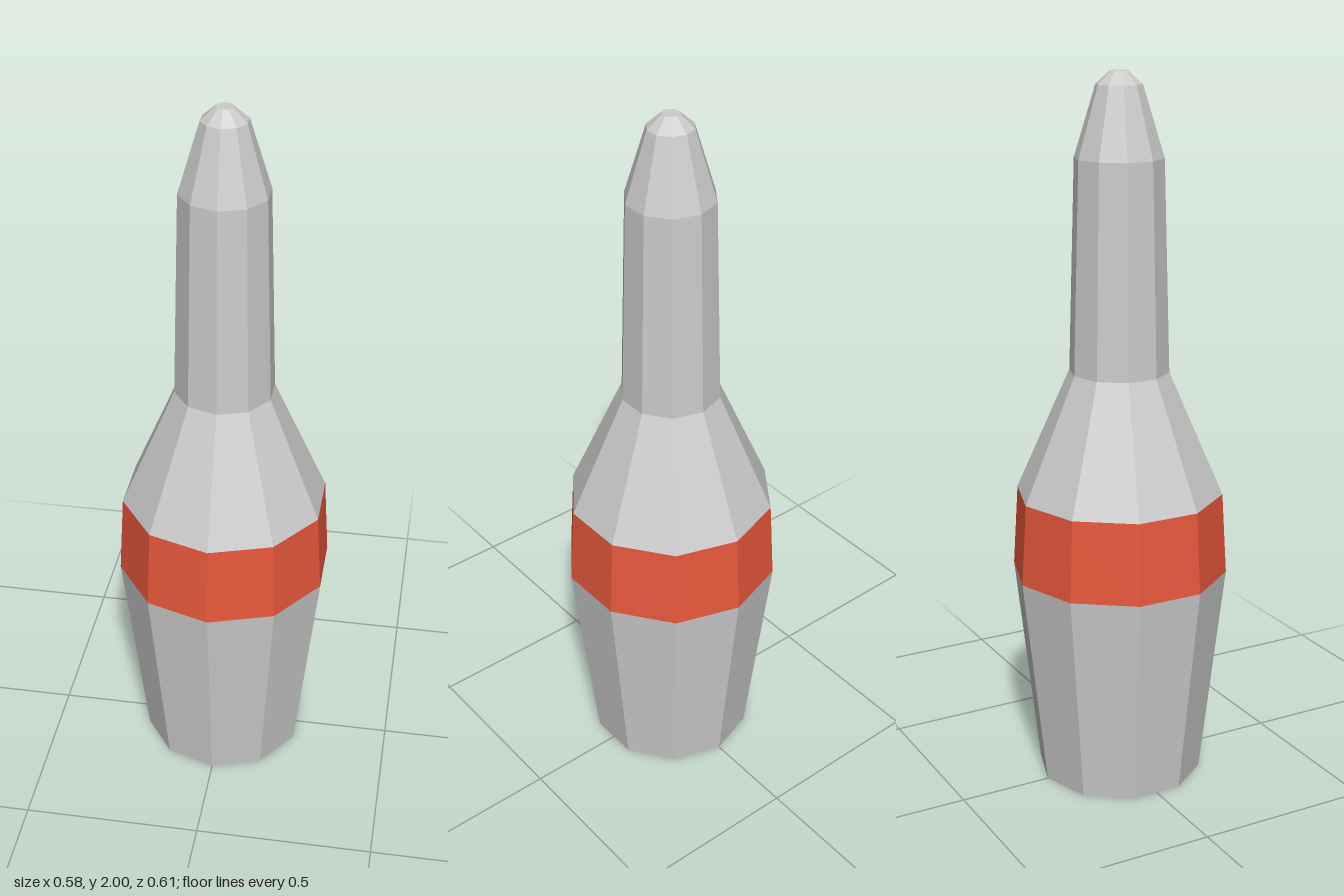
import * as THREE from 'three';

const SIDES = 10;

// Faceted solid of revolution from [radius, height] pairs, bottom to top
function turned(name, profile, color) {
  const points = profile.map(([r, y]) => new THREE.Vector2(r, y));
  const material = new THREE.MeshStandardMaterial({ color, flatShading: true });
  const mesh = new THREE.Mesh(new THREE.LatheGeometry(points, SIDES), material);
  mesh.name = name;
  return mesh;
}

export function createModel() {
  const group = new THREE.Group();
  group.name = 'bottle';

  const bandBottom = [0.305, 0.613];
  const bandTop = [0.291, 0.843];

  // Closed base and tapering lower body
  group.add(turned('lowerBody', [[0, 0], [0.235, 0], bandBottom], 0xcccccc));

  // Coloured band around the widest part
  group.add(turned('band', [bandBottom, bandTop], 0xe8583c));

  // Sloping shoulder, long neck and blunt tip
  group.add(turned('shoulder', [bandTop, [0.139, 1.19]], 0xcccccc));
  group.add(turned('neck', [[0.139, 1.19], [0.122, 1.773]], 0xcccccc));
  group.add(turned('tip', [[0.122, 1.773], [0.063, 1.965], [0.024, 2], [0, 2]], 0xcccccc));

  return group;
}
